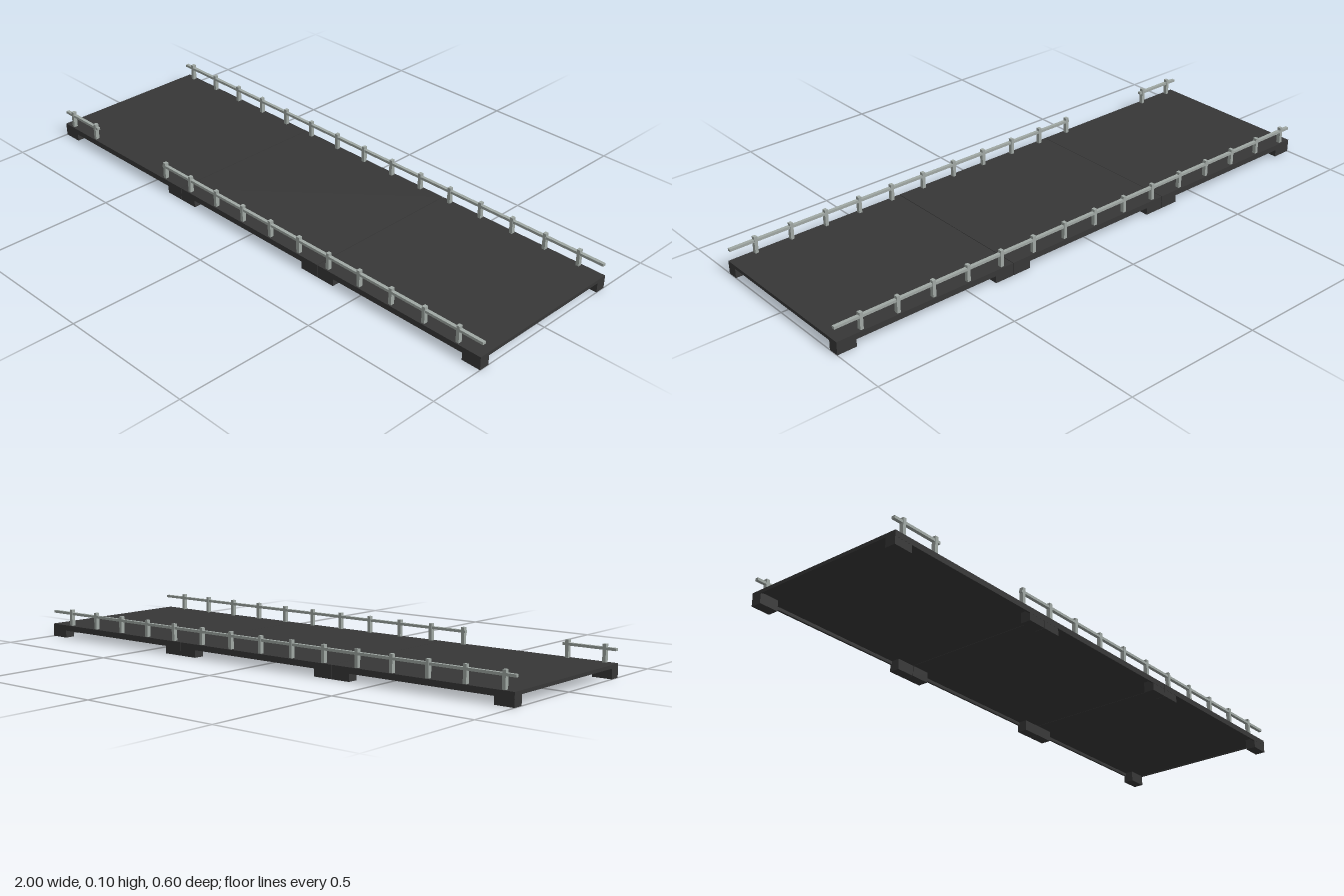
import * as THREE from 'three';

export function createModel() {
  const model = new THREE.Group();
  model.name = 'platform';
  const dark = new THREE.MeshStandardMaterial({ color: 0x373737 });
  dark.name = 'dark deck';
  const steel = new THREE.MeshStandardMaterial({ color: 0xa0a8a4 });
  steel.name = 'grey steel';

  // Box given by its minimum and maximum on each axis
  function box(parent, name, mat, [x0, x1], [y0, y1], [z0, z1]) {
    const mesh = new THREE.Mesh(new THREE.BoxGeometry(x1 - x0, y1 - y0, z1 - z0), mat);
    mesh.position.set((x0 + x1) / 2, (y0 + y1) / 2, (z0 + z1) / 2);
    mesh.name = name;
    parent.add(mesh);
  }
  const span = (side, a, b) => (side > 0 ? [a, b] : [-b, -a]);

  // Three identical deck sections, each on four corner feet
  const length = 2 / 3;
  for (let i = 0; i < 3; i++) {
    const section = new THREE.Group();
    section.name = 'deckSection';
    const x0 = -1 + i * length + (i > 0 ? 0.001 : 0);
    const x1 = -1 + (i + 1) * length - (i < 2 ? 0.001 : 0);
    box(section, 'deck', dark, [x0, x1], [0.037, 0.046], [-0.3, 0.3]);
    for (const side of [-1, 1]) {
      box(section, 'sideBeam', dark, [x0, x1], [0.026, 0.037], span(side, 0.293, 0.3));
      for (const foot of [[x0, x0 + 0.069], [x1 - 0.069, x1]]) {
        box(section, 'foot', dark, foot, [0, 0.037], span(side, 0.262, 0.2995));
      }
    }
    model.add(section);
  }
  // Lips under the two outer ends
  for (const side of [-1, 1]) {
    box(model, 'endLip', dark, span(side, 0.994, 1), [0.034, 0.037], [-0.293, 0.293]);
  }

  // Railings, with an entrance gap in the front one
  const gap = [-0.81, -0.437];
  for (const side of [-1, 1]) {
    const railing = new THREE.Group();
    railing.name = side > 0 ? 'frontRailing' : 'backRailing';
    const rails = side > 0 ? [[-1, gap[0]], [gap[1], 1]] : [[-1, 1]];
    for (const rail of rails) {
      box(railing, 'rail', steel, rail, [0.086, 0.095], span(side, 0.282, 0.294));
    }
    for (let i = 0; i < 15; i++) {
      const x = -0.96 + i * 0.1333;
      if (side > 0 && x > gap[0] && x < gap[1]) continue;
      box(railing, 'post', steel, [x - 0.006, x + 0.006], [0.046, 0.105], span(side, 0.281, 0.295));
    }
    model.add(railing);
  }
  return model;
}
